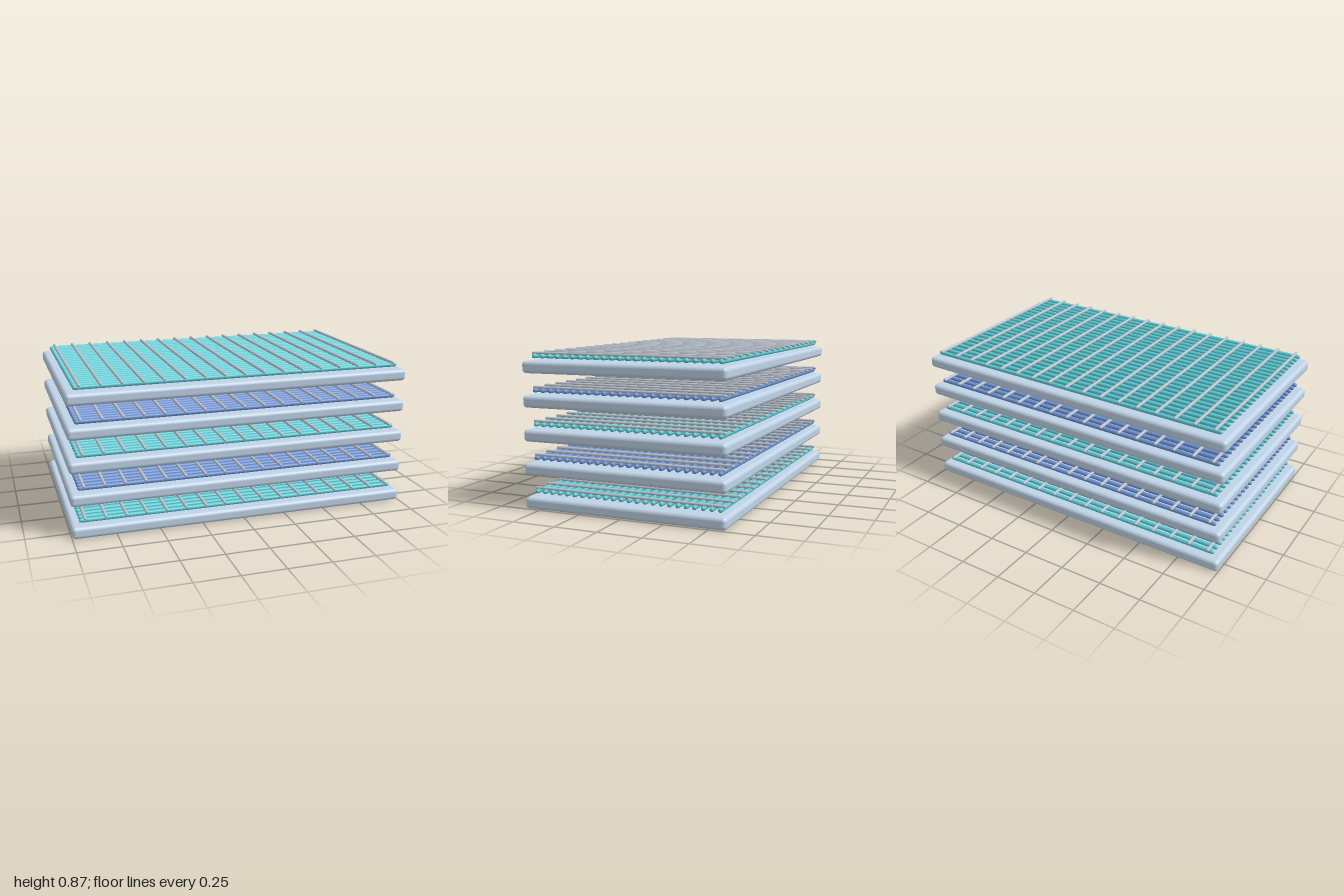
import * as THREE from 'three';
import { RoundedBoxGeometry } from 'three/addons/geometries/RoundedBoxGeometry.js';

const LAYERS = 5, PITCH = 0.189;
const RODS = 24, ROD_SPAN = 0.545;
const WIRES = 17, WIRE_SPAN = 0.922;

function material(name, color) {
  const m = new THREE.MeshStandardMaterial({ color });
  m.name = name;
  return m;
}

// Round-ended bar of a given overall length, centred on the origin
function bar(radius, length) {
  return new THREE.CapsuleGeometry(radius, length - 2 * radius, 4, 14);
}

export function createModel() {
  const model = new THREE.Group();
  model.name = 'layeredRack';

  const slabMat = material('paleSteel', 0xc2d6ea);
  const tealMat = material('teal', 0x5ccad3);
  const blueMat = material('blue', 0x6c92d2);
  const wireMat = material('lightGrey', 0xbcc3cd);

  const slabGeo = new RoundedBoxGeometry(2, 0.068, 1.19, 4, 0.022);
  const rodGeo = bar(0.0125, 1.91).rotateZ(Math.PI / 2);
  const wireGeo = bar(0.009, 1.14).rotateX(Math.PI / 2);

  for (let level = 0; level < LAYERS; level++) {
    const layer = new THREE.Group();
    layer.name = 'layer' + (level + 1);
    layer.position.y = level * PITCH;
    const add = (name, geo, mat, x, y, z) => {
      const mesh = new THREE.Mesh(geo, mat);
      mesh.name = name;
      mesh.position.set(x, y, z);
      layer.add(mesh);
    };

    // Rounded base slab
    add('slab', slabGeo, slabMat, 0, 0.034, 0);

    // Long coloured rods, alternating colour by layer
    const rodMat = level % 2 ? blueMat : tealMat;
    for (let i = 0; i < RODS; i++) {
      const z = ROD_SPAN * (2 * i / (RODS - 1) - 1);
      add('rod', rodGeo, rodMat, 0, 0.092, z);
    }

    // Thin cross wires resting on the rods
    for (let i = 0; i < WIRES; i++) {
      const x = WIRE_SPAN * (2 * i / (WIRES - 1) - 1);
      add('crossWire', wireGeo, wireMat, x, 0.107, 0);
    }
    model.add(layer);
  }
  return model;
}
